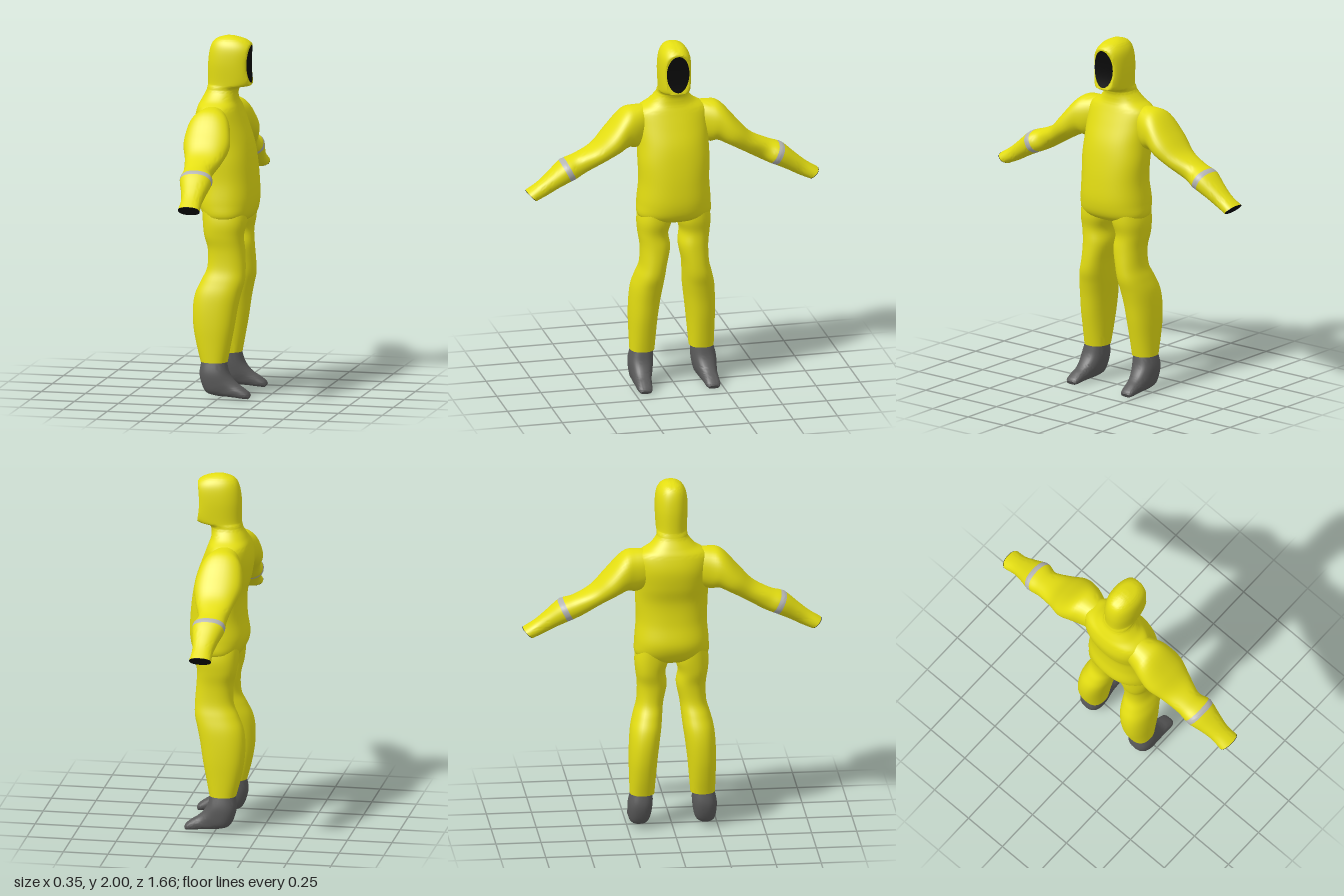
import * as THREE from 'three';
import { toCreasedNormals } from 'three/addons/utils/BufferGeometryUtils.js';

const material = (color) => new THREE.MeshStandardMaterial({ color });
const YELLOW = material(0xe4de12), GREY = material(0x5a5a5a), BAND = material(0xb4b4b4), BLACK = material(0x0a0a0a);
const V = (x, y, z) => new THREE.Vector3(x, y, z);

// A section runs from point a to point b, with half-width vector w across it.
// Skins a smooth closed tube through the sections, between t0 and t1.
function loft(sections, { t0 = 0, t1 = 1, sides = 36, steps = 5, power = 0.88, shape = null } = {}) {
  const track = (key) => new THREE.CatmullRomCurve3(sections.map((s) => s[key]), false, 'catmullrom', 0.5);
  const [ca, cb, cw] = ['a', 'b', 'w'].map(track);
  const rows = Math.max(1, Math.round((sections.length - 1) * steps * (t1 - t0)));
  const rounded = (v) => Math.sign(v) * Math.abs(v) ** power;
  const pos = [], idx = [], mids = [];
  let axis;
  for (let i = 0; i <= rows; i++) {
    const t = t0 + ((t1 - t0) * i) / rows;
    const a = ca.getPoint(t), b = cb.getPoint(t), w = cw.getPoint(t);
    const mid = a.clone().add(b).multiplyScalar(0.5);
    const d = b.clone().sub(mid);
    mids.push(mid);
    if (i === 0) axis = d.clone().cross(w);
    for (let j = 0; j < sides; j++) {
      const q = (j / sides) * Math.PI * 2;
      const p = mid.clone().addScaledVector(d, rounded(Math.cos(q))).addScaledVector(w, rounded(Math.sin(q)));
      if (shape) shape(p);
      pos.push(p.x, p.y, p.z);
    }
  }
  const flip = axis.dot(mids[1].clone().sub(mids[0])) < 0;
  const tri = (a, b, c) => (flip ? idx.push(a, c, b) : idx.push(a, b, c));
  const first = (rows + 1) * sides, last = first + 1;
  [mids[0], mids[rows]].forEach((m) => pos.push(m.x, m.y, m.z));
  for (let j = 0; j < sides; j++) {
    const k = (j + 1) % sides;
    for (let i = 0; i < rows; i++) {
      const r = i * sides, s = r + sides;
      tri(r + j, r + k, s + j);
      tri(r + k, s + k, s + j);
    }
    tri(first, k, j);
    tri(last, rows * sides + j, rows * sides + k);
  }
  const g = new THREE.BufferGeometry();
  g.setAttribute('position', new THREE.Float32BufferAttribute(pos, 3));
  g.setIndex(idx);
  return toCreasedNormals(g, 0.85);
}

// The hood opening is slightly hollow from top to bottom
const faceX = (y) => 0.115 + 1.2 * (y - 1.845) ** 2;

// Body and hood: [y, back x, front x, half width]
const BODY = [
  [0.955, -0.03, 0.03, 0.03], [0.965, -0.08, 0.08, 0.12], [1.0, -0.125, 0.145, 0.2],
  [1.08, -0.155, 0.17, 0.205], [1.2, -0.14, 0.168, 0.196], [1.32, -0.14, 0.155, 0.2],
  [1.42, -0.165, 0.135, 0.2], [1.52, -0.178, 0.1, 0.205], [1.6, -0.165, 0.07, 0.195],
  [1.645, -0.145, 0.055, 0.13], [1.69, -0.122, 0.055, 0.09], [1.715, -0.115, 0.075, 0.084],
  [1.74, -0.112, 0.15, 0.085], [1.85, -0.112, 0.155, 0.09], [1.93, -0.1, 0.15, 0.083],
  [1.975, -0.075, 0.11, 0.06], [1.995, -0.03, 0.05, 0.03], [2.0, -0.005, 0.015, 0.01],
].map(([y, x0, x1, h]) => ({ a: V(x0, y, 0), b: V(x1, y, 0), w: V(0, 0, h) }));

// Leg: [y, back x, front x, inner z, outer z]
const leg = (side) => [
  [1.08, -0.12, 0.13, 0.03, 0.185], [0.98, -0.115, 0.13, 0.015, 0.204], [0.9, -0.105, 0.115, 0.035, 0.2],
  [0.82, -0.087, 0.12, 0.026, 0.19], [0.72, -0.088, 0.126, 0.045, 0.193], [0.65, -0.118, 0.124, 0.053, 0.212],
  [0.58, -0.148, 0.107, 0.06, 0.23], [0.5, -0.16, 0.09, 0.071, 0.238], [0.4, -0.156, 0.074, 0.083, 0.241],
  [0.3, -0.138, 0.055, 0.092, 0.239], [0.2, -0.112, 0.036, 0.1, 0.236],
].map(([y, x0, x1, z0, z1]) => {
  const z = (side * (z0 + z1)) / 2;
  return { a: V(x0, y, z), b: V(x1, y, z), w: V(0, 0, (z1 - z0) / 2) };
});

// Boot: [heel or sole x, y, instep x, y, centre z, half width], from ankle to toe
const boot = (side) => [
  [-0.105, 0.215, 0.03, 0.21, 0.17, 0.06], [-0.116, 0.13, 0.045, 0.15, 0.178, 0.068],
  [-0.085, 0.04, 0.07, 0.11, 0.182, 0.062], [-0.03, 0.016, 0.1, 0.082, 0.186, 0.052],
  [0.06, 0.01, 0.132, 0.062, 0.19, 0.045], [0.13, 0.004, 0.163, 0.038, 0.192, 0.04],
  [0.16, 0.002, 0.172, 0.022, 0.192, 0.03],
].map(([x0, y0, x1, y1, z, h]) => ({ a: V(x0, y0, side * z), b: V(x1, y1, side * z), w: V(0, 0, h) }));

// Arm: [upper z, y, lower z, y, centre x, half depth], from shoulder to cuff
const arm = (side) => [
  [0.08, 1.62, 0.1, 1.43, -0.06, 0.06], [0.2, 1.625, 0.2, 1.39, -0.045, 0.1],
  [0.275, 1.605, 0.25, 1.395, -0.045, 0.12], [0.37, 1.5, 0.305, 1.372, -0.04, 0.13],
  [0.45, 1.415, 0.39, 1.325, -0.037, 0.105], [0.545, 1.367, 0.49, 1.265, -0.044, 0.08],
  [0.605, 1.347, 0.55, 1.235, -0.036, 0.09], [0.635, 1.333, 0.58, 1.222, -0.035, 0.089],
  [0.7, 1.275, 0.65, 1.188, -0.03, 0.07], [0.76, 1.225, 0.71, 1.155, -0.027, 0.058],
  [0.828, 1.18, 0.773, 1.127, -0.025, 0.061],
].map(([z0, y0, z1, y1, x, h]) => ({ a: V(x, y0, side * z0), b: V(x, y1, side * z1), w: V(h, 0, 0) }));

export function createModel() {
  const model = new THREE.Group();
  const add = (parent, name, geometry, mat) => {
    const mesh = new THREE.Mesh(geometry, mat);
    mesh.name = name;
    parent.add(mesh);
  };

  // Suit body with hood, flattened at the face opening
  const flatten = (p) => { if (p.y > 1.7) p.x = Math.min(p.x, faceX(p.y)); };
  add(model, 'bodyAndHood', loft(BODY, { sides: 48, steps: 6, shape: flatten }), YELLOW);

  // Dark oval face opening
  const face = new THREE.RingGeometry(0, 1, 40, 6).scale(0.064, 0.106, 1).rotateY(Math.PI / 2).translate(0, 1.845, 0);
  const p = face.attributes.position;
  for (let i = 0; i < p.count; i++) p.setX(i, faceX(p.getY(i)) + 0.003);
  face.computeVertexNormals();
  add(model, 'faceOpening', face, BLACK);

  // Limbs, mirrored across z
  for (const side of [1, -1]) {
    const label = side > 0 ? 'back' : 'front';
    const prefix = side > 0 ? 'first' : 'second';
    const armGroup = new THREE.Group(), legGroup = new THREE.Group();
    armGroup.name = prefix + 'Arm';
    legGroup.name = prefix + 'Leg';
    model.add(armGroup, legGroup);

    const sections = arm(side);
    add(armGroup, 'sleeve', loft(sections, { t1: 0.6 }), YELLOW);
    add(armGroup, 'reflectiveBand', loft(sections, { t0: 0.6, t1: 0.7 }), BAND);
    add(armGroup, 'cuff', loft(sections, { t0: 0.7, t1: 0.997 }), YELLOW);
    add(armGroup, 'cuffOpening', loft(sections, { t0: 0.997 }), BLACK);

    add(legGroup, 'trouserLeg', loft(leg(side)), YELLOW);
    add(legGroup, 'boot', loft(boot(side), { power: 0.8 }), GREY);
  }
  return model;
}
